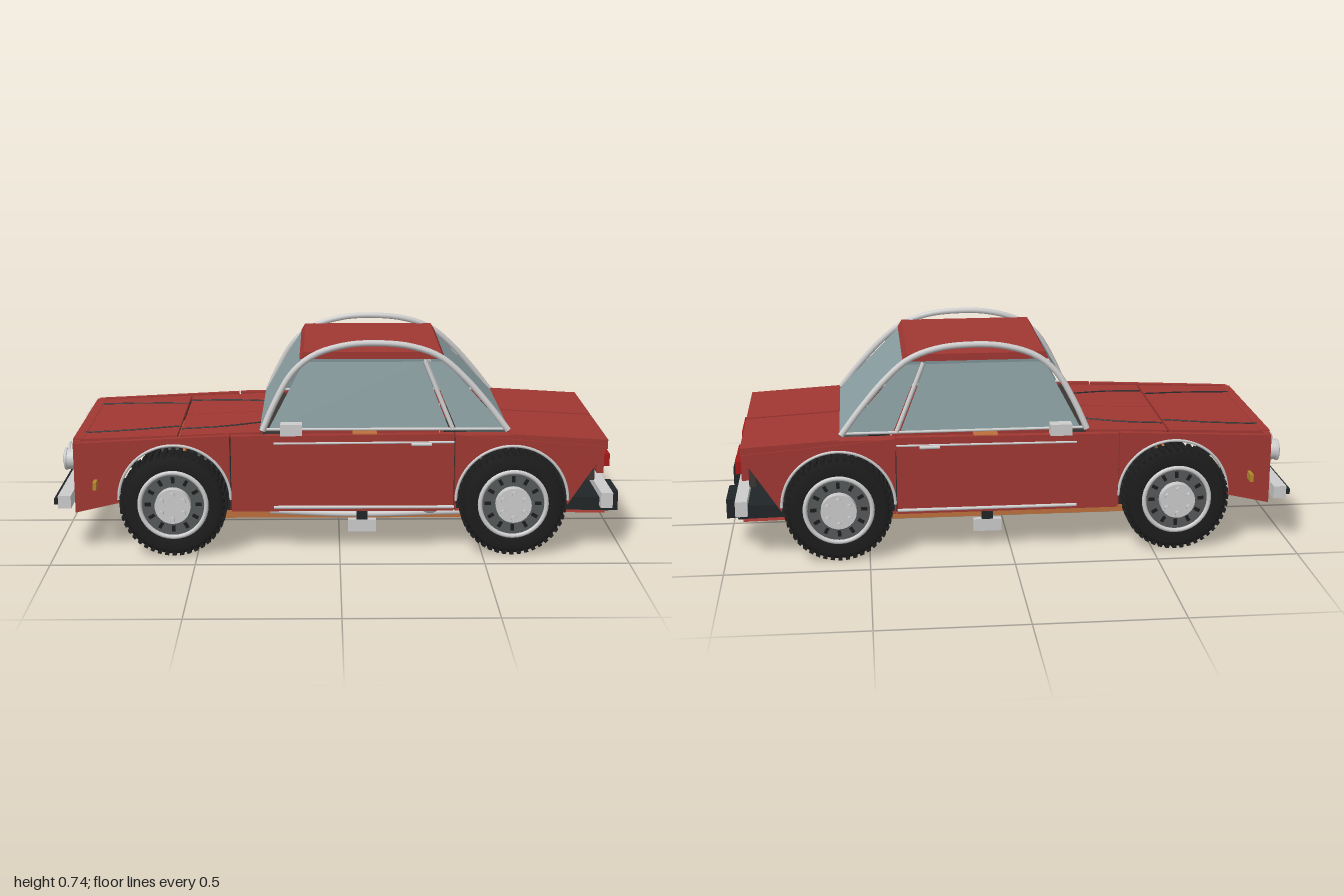
import * as THREE from 'three';

const material = (color, side = THREE.FrontSide) => new THREE.MeshStandardMaterial({ color, side });
const RED = material(0xa03732), BLACK = material(0x202527), TYRE = material(0x1c1c1c), GREY = material(0xcccccc);
const DARK = material(0x3b3634), LAMP = material(0xa51818), ORANGE = material(0xbd703c), AMBER = material(0xb58a2a);
const GLASS = material(0x8a9ea1, THREE.DoubleSide), STEEL = material(0x55585a);

export function createModel() {
  const car = new THREE.Group();
  car.name = 'car';

  const add = (name, geo, mat, parent = car) => {
    const m = new THREE.Mesh(geo, mat);
    m.name = name;
    parent.add(m);
    return m;
  };
  // Box given by its minimum and maximum on each axis
  const box = (name, mat, x0, x1, y0, y1, z0, z1, parent = car) => {
    const m = add(name, new THREE.BoxGeometry(x1 - x0, y1 - y0, z1 - z0), mat, parent);
    m.position.set((x0 + x1) / 2, (y0 + y1) / 2, (z0 + z1) / 2);
    return m;
  };
  // Same box on both sides of the car
  const pair = (name, mat, x0, x1, y0, y1, z0, z1) => {
    box(name + 'Left', mat, x0, x1, y0, y1, z0, z1);
    box(name + 'Right', mat, x0, x1, y0, y1, -z1, -z0);
  };
  const rod = (name, points, r, mat = GREY, steps = 40) => {
    const pts = points.map(p => new THREE.Vector3(...p));
    const curve = pts.length > 2 ? new THREE.CatmullRomCurve3(pts) : new THREE.LineCurve3(...pts);
    return add(name, new THREE.TubeGeometry(curve, pts.length > 2 ? steps : 1, r, 8), mat);
  };
  const pane = (name, pts, mat = GLASS) => {
    const g = new THREE.BufferGeometry();
    g.setAttribute('position', new THREE.Float32BufferAttribute(pts.flat(), 3));
    g.setIndex([0, 1, 2, 0, 2, 3]);
    g.computeVertexNormals();
    return add(name, g, mat);
  };
  // Slab whose side outline is extruded across z
  const slab = (name, outline, z0, z1, mat = RED) => {
    const shape = outline instanceof THREE.Shape ? outline : new THREE.Shape(outline.map(p => new THREE.Vector2(...p)));
    const geo = new THREE.ExtrudeGeometry(shape, { depth: z1 - z0, bevelEnabled: false, curveSegments: 24 });
    return add(name, geo.translate(0, 0, z0), mat);
  };

  // Wheels
  const WX = [-0.58, 0.604], WY = 0.187;
  const tyreProfile = [[0.118, -0.035], [0.165, -0.039], [0.18, -0.03], [0.18, 0.03], [0.165, 0.039], [0.118, 0.035]]
    .map(p => new THREE.Vector2(...p));
  const disc = (name, mat, r, z0, z1, parent, n = 32) => {
    const m = add(name, new THREE.CylinderGeometry(r, r, z1 - z0, n).rotateX(Math.PI / 2), mat, parent);
    m.position.z = (z0 + z1) / 2;
    return m;
  };
  for (const x of WX) for (const s of [1, -1]) {
    const wheel = new THREE.Group();
    wheel.name = 'wheel';
    const tyre = new THREE.LatheGeometry(tyreProfile, 40).rotateX(Math.PI / 2);
    add('tyre', tyre, material(0x1c1c1c, THREE.DoubleSide), wheel);
    for (let i = 0; i < 44; i++) {
      const a = i / 44 * Math.PI * 2;
      const knob = add('tread', new THREE.BoxGeometry(0.014, 0.014, 0.07), TYRE, wheel);
      knob.position.set(Math.cos(a) * 0.18, Math.sin(a) * 0.18, 0);
      knob.rotation.z = a;
    }
    disc('rimDisc', STEEL, 0.12, -0.03, 0.03, wheel);
    add('rimRing', new THREE.TorusGeometry(0.116, 0.008, 8, 40), GREY, wheel).position.z = 0.04;
    disc('hub', GREY, 0.062, 0.03, 0.06, wheel);
    for (let i = 0; i < 12; i++) {
      const a = i / 12 * Math.PI * 2;
      const slot = add('rimSlot', new THREE.BoxGeometry(0.022, 0.012, 0.004), TYRE, wheel);
      slot.position.set(Math.cos(a) * 0.088, Math.sin(a) * 0.088, 0.031);
      slot.rotation.z = a;
      if (i % 2) disc('bolt', GREY, 0.009, 0.055, 0.073, wheel, 6).position.set(Math.cos(a) * 0.044, Math.sin(a) * 0.044, 0.064);
    }
    wheel.position.set(x, WY, s * 0.37);
    if (s < 0) wheel.rotation.y = Math.PI;
    car.add(wheel);
  }
  for (const x of WX) box('axle', BLACK, x - 0.02, x + 0.02, 0.165, 0.205, -0.35, 0.35);

  // Side panels with wheel arches
  const arched = (cx, pts, bottom0, bottom1) => {
    const s = new THREE.Shape();
    const R = 0.197, a0 = Math.asin((bottom0 - WY) / R), a1 = Math.asin((bottom1 - WY) / R);
    s.moveTo(...pts[0]);
    s.lineTo(cx - R * Math.cos(a0), bottom0);
    s.absarc(cx, WY, R, Math.PI - a0, a1, true);
    pts.slice(1).forEach(p => s.lineTo(...p));
    return s;
  };
  for (const s of [1, -1]) {
    const side = (name, outline, z0, z1) => slab(name, outline, s > 0 ? z0 : -z1, s > 0 ? z1 : -z0);
    side('frontFender', arched(WX[0], [[-0.93, 0.14], [-0.385, 0.15], [-0.385, 0.418], [-0.93, 0.392]], 0.175, 0.15), 0.325, 0.345);
    side('door', [[-0.38, 0.145], [0.4, 0.145], [0.4, 0.425], [-0.38, 0.418]], 0.327, 0.352);
    side('rearQuarter', arched(WX[1], [[0.935, 0.14], [0.935, 0.38], [0.404, 0.425], [0.404, 0.15]], 0.15, 0.17)
      , 0.335, 0.365);
    WX.forEach((x, i) => {
      const trim = add('archTrim', new THREE.TorusGeometry(0.197, 0.005, 6, 32, Math.PI), GREY);
      trim.position.set(x, WY, s * (i ? 0.365 : 0.346));
    });
    // Trim lines, handle, mirror and marker
    rod('sillTrim', [[-0.23, 0.165, s * 0.37], [0.4, 0.165, s * 0.37]], 0.006);
    rod('waistTrim', [[-0.23, 0.392, s * 0.354], [0.4, 0.396, s * 0.354]], 0.004);
    rod('handle', [[0.25, 0.39, s * 0.362], [0.32, 0.39, s * 0.362]], 0.006);
    rod('mirrorArm', [[-0.165, 0.43, s * 0.34], [-0.165, 0.45, s * 0.38]], 0.006);
    // Glasshouse sides
    const z = y => s * (0.31 - (y - 0.43) * 0.16);
    const P = (x, y) => [x, y, z(y)];
    pane('doorGlass', [P(-0.25, 0.43), P(0.385, 0.43), P(0.29, 0.665), P(-0.125, 0.665)]);
    pane('quarterGlass', [P(0.41, 0.43), P(0.585, 0.43), P(0.37, 0.665), P(0.31, 0.665)]);
    rod('windowPillar', [P(0.398, 0.43), P(0.298, 0.67)], 0.008);
    rod('windowSill', [P(-0.27, 0.432), P(0.59, 0.432)], 0.005);
    const q = y => s * (0.323 - (y - 0.43) * 0.17);
    rod('roofArch', [[-0.27, 0.43], [-0.23, 0.52], [-0.165, 0.63], [-0.09, 0.69], [0.02, 0.724], [0.13, 0.731],
      [0.25, 0.72], [0.35, 0.685], [0.43, 0.62], [0.52, 0.52], [0.59, 0.43]].map(([x, y]) => [x, y, q(y)]), 0.011);
  }
  pair('mirror', GREY, -0.205, -0.13, 0.435, 0.475, 0.373, 0.415);
  pair('sideMarker', AMBER, -0.86, -0.848, 0.235, 0.262, 0.344, 0.39);

  // Cabin: roof, windscreen and rear window
  slab('roof', [[-0.14, 0.675], [0.37, 0.675], [0.355, 0.7], [-0.125, 0.7]], -0.272, 0.272);
  pane('windscreen', [[-0.28, 0.43, 0.31], [-0.28, 0.43, -0.31], [-0.135, 0.68, -0.268], [-0.135, 0.68, 0.268]]);
  pane('rearWindow', [[0.595, 0.43, -0.3], [0.595, 0.43, 0.3], [0.36, 0.68, 0.268], [0.36, 0.68, -0.268]]);
  box('dashboard', DARK, -0.27, -0.2, 0.3, 0.42, -0.3, 0.3);
  box('rearBulkhead', DARK, 0.42, 0.45, 0.16, 0.43, -0.265, 0.265);
  pair('seatHinge', ORANGE, 0.045, 0.13, 0.405, 0.425, 0.3, 0.345);

  // Bonnet in two sections, with dark creases
  const hoodY = x => 0.42 + (x + 0.28) * 0.038;
  const hood = (x0, x1, z0, z1) =>
    slab('bonnet', [[x0, hoodY(x0) - 0.015], [x1, hoodY(x1) - 0.015], [x1, hoodY(x1)], [x0, hoodY(x0)]], z0, z1);
  hood(-0.91, -0.57, -0.3, 0.3);
  hood(-0.562, -0.28, 0.003, 0.3);
  hood(-0.562, -0.28, -0.3, -0.003);
  for (const s of [1, -1]) for (const [x0, x1, z0, z1] of [[-0.91, -0.57, 0.215, 0.175], [-0.56, -0.28, 0.215, 0.165]])
    rod('bonnetCrease', [[x0, hoodY(x0), s * z0], [(x0 + x1) / 2, hoodY((x0 + x1) / 2), s * (z0 - 0.012)], [x1, hoodY(x1), s * z1]], 0.004, BLACK, 8);

  // Boot lid halves and rear face
  for (const s of [1, -1]) {
    const z0 = s > 0 ? 0.008 : -0.36;
    slab('bootLid', [[0.595, 0.4], [0.935, 0.375], [0.935, 0.408], [0.595, 0.428]].map(([x, y]) => [x, y - 0.003]), z0, z0 + 0.352);
  }
  pair('rearShoulder', RED, 0.404, 0.6, 0.405, 0.421, 0.31, 0.36);
  box('rearPanel', DARK, 0.895, 0.92, 0.215, 0.37, -0.212, 0.212);
  pair('lampPanel', RED, 0.915, 0.94, 0.26, 0.345, 0.045, 0.275);
  pair('tailLamp', LAMP, 0.938, 0.96, 0.285, 0.33, 0.075, 0.275);
  pair('rearBumper', GREY, 0.92, 0.962, 0.155, 0.21, 0.006, 0.357);
  pair('rearBumperPad', BLACK, 0.95, 1.0, 0.115, 0.185, 0.1, 0.255);

  // Nose: grille, twin headlamps and bumper
  pair('nosePanel', RED, -0.93, -0.905, 0.235, 0.395, 0.165, 0.33);
  box('noseLip', RED, -0.935, -0.9, 0.38, 0.398, -0.3, 0.3);
  box('grilleBack', BLACK, -0.935, -0.91, 0.235, 0.382, -0.17, 0.17);
  for (let i = 0; i < 17; i++) box('grilleBar', GREY, -0.942, -0.934, 0.24, 0.38, -0.162 + i * 0.02, -0.158 + i * 0.02);
  for (let i = 0; i < 7; i++) box('grilleSlat', GREY, -0.944, -0.936, 0.242 + i * 0.022, 0.246 + i * 0.022, -0.165, 0.165);
  for (const z of [-0.3, -0.215, 0.215, 0.3]) {
    const lamp = new THREE.Group();
    lamp.name = 'headlamp';
    disc('lampBody', GREY, 0.036, 0, 0.03, lamp);
    add('lampRing', new THREE.TorusGeometry(0.034, 0.006, 8, 28), GREY, lamp).position.z = 0.03;
    const lens = add('lens', new THREE.SphereGeometry(0.031, 20, 8, 0, Math.PI * 2, 0, Math.PI / 2).rotateX(Math.PI / 2), GREY, lamp);
    lens.scale.z = 0.4;
    lens.position.z = 0.03;
    lamp.position.set(-0.93, 0.325, z);
    lamp.rotation.y = -Math.PI / 2;
    car.add(lamp);
  }
  box('frontBumper', GREY, -0.985, -0.94, 0.165, 0.21, -0.375, 0.375);
  box('frontBumperStrip', BLACK, -1.0, -0.983, 0.178, 0.198, -0.37, 0.37);
  pair('bumperBracket', BLACK, -0.95, -0.78, 0.17, 0.2, 0.12, 0.17);

  // Underside: floor, rails, towers, steps and exhaust
  box('floor', BLACK, -0.79, 0.62, 0.112, 0.165, -0.235, 0.235);
  box('rearFloor', BLACK, 0.6, 0.955, 0.135, 0.185, -0.325, 0.325);
  pair('sillFloor', BLACK, -0.37, 0.39, 0.14, 0.16, 0.235, 0.325);
  pair('chassisRail', ORANGE, -0.74, 0.7, 0.072, 0.112, 0.153, 0.2);
  pair('suspensionTower', ORANGE, -0.62, -0.53, 0.255, 0.3, 0.25, 0.33);
  box('towerBrace', ORANGE, -0.575, -0.555, 0.3, 0.32, -0.31, 0.31);
  pair('step', GREY, 0.03, 0.13, 0.055, 0.1, 0.29, 0.31);
  pair('stepBracket', BLACK, 0.06, 0.1, 0.1, 0.15, 0.29, 0.31);
  rod('exhaustPipe', [[-0.25, 0.105, 0.22], [0.05, 0.092, 0.22], [0.4, 0.1, 0.22], [0.6, 0.1, 0.21], [0.87, 0.13, 0.205]], 0.011);
  const muffler = add('muffler', new THREE.SphereGeometry(0.04, 20, 12), GREY);
  muffler.position.set(0.325, 0.145, 0.25);

  return car;
}
